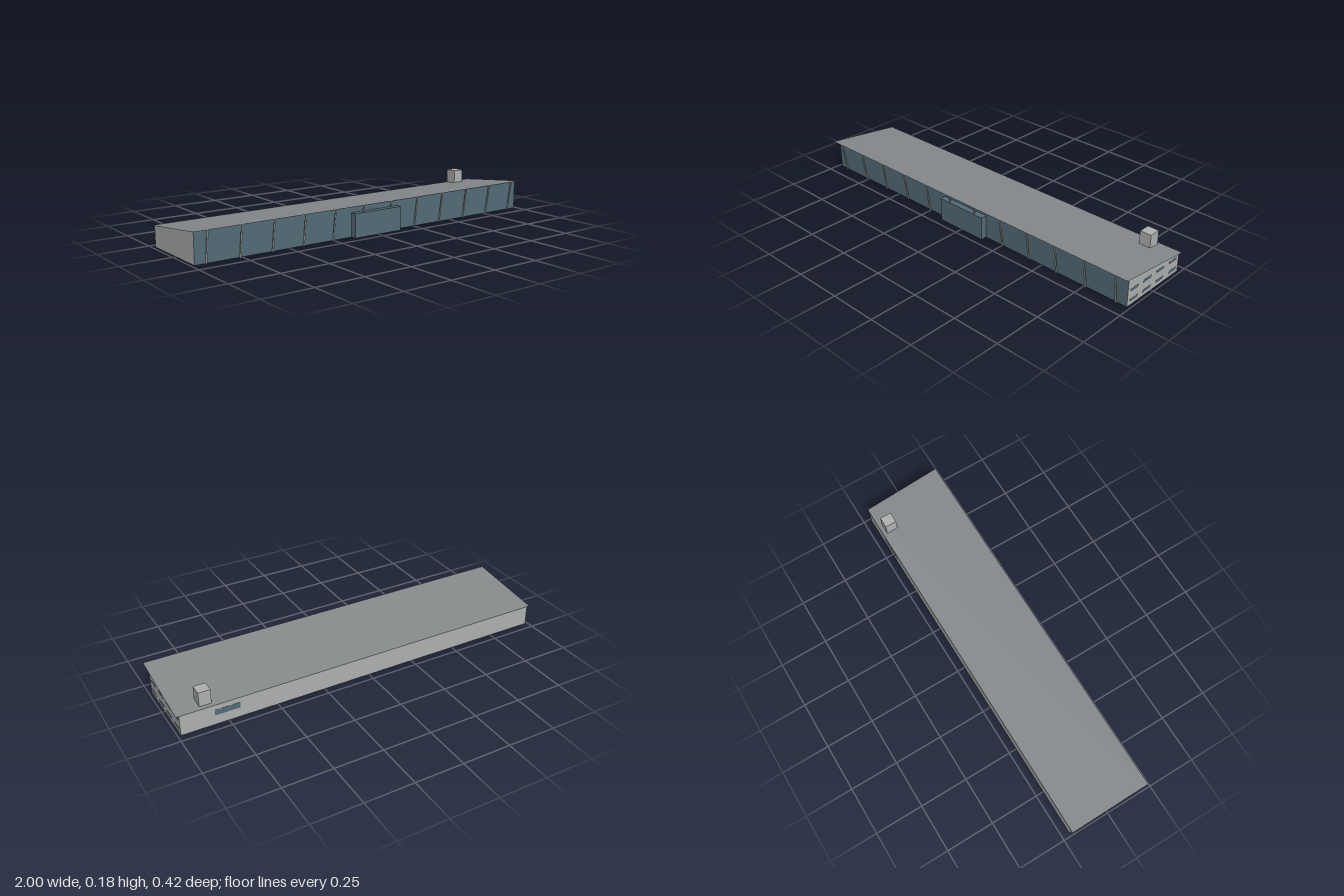
import * as THREE from 'three';

export function createModel() {
  const model = new THREE.Group();
  const mat = (name, color) => {
    const m = new THREE.MeshStandardMaterial({ color, side: THREE.DoubleSide });
    m.name = name;
    return m;
  };
  const concrete = mat('pale concrete', 0xaeb0af);
  const glass = mat('blue glass', 0x536b77);
  const roofing = mat('grey roofing', 0x85898b);

  const add = (name, geometry, material) => {
    const mesh = new THREE.Mesh(geometry, material);
    mesh.name = name;
    model.add(mesh);
    return mesh;
  };
  const box = (name, material, [x0, x1], [y0, y1], [z0, z1]) => {
    const mesh = add(name, new THREE.BoxGeometry(x1 - x0, y1 - y0, z1 - z0), material);
    mesh.position.set((x0 + x1) / 2, (y0 + y1) / 2, (z0 + z1) / 2);
    return mesh;
  };
  // Four-cornered panel, corners anticlockwise seen from outside
  const panel = (name, material, ...corners) => {
    const g = new THREE.BufferGeometry();
    g.setAttribute('position', new THREE.Float32BufferAttribute(corners.flat(), 3));
    g.setIndex([0, 1, 2, 0, 2, 3]);
    g.computeVertexNormals();
    return add(name, g, material);
  };

  const W = 0.985, front = 0.18, back = -0.21;
  const roofY = z => 0.131 + 0.118 * z;
  const wallY = z => roofY(z) - 0.0006;

  // Shell, open underneath
  panel('frontGlassWall', glass, [-W, 0, front], [W, 0, front], [W, wallY(front), front], [-W, wallY(front), front]);
  panel('backWall', concrete, [W, 0, back], [-W, 0, back], [-W, wallY(back), back], [W, wallY(back), back]);
  panel('leftEndWall', concrete, [W, 0, front], [W, 0, back], [W, wallY(back), back], [W, wallY(front), front]);
  panel('rightEndWall', concrete, [-W, 0, back], [-W, 0, front], [-W, wallY(front), front], [-W, wallY(back), back]);

  // Sloping roof sheet, overhanging the front and both ends
  const zr = 0.211;
  panel('roof', roofing, [-1, roofY(zr), zr], [1, roofY(zr), zr], [1, roofY(-zr), -zr], [-1, roofY(-zr), -zr]);

  // Entrance and chimney
  box('entrance', glass, [-0.143, 0.14], [0, 0.121], [front, 0.211]);
  box('chimney', concrete, [0.82, 0.88], [0, 0.183], [-0.19, -0.129]);

  // Leaning posts under the eaves
  const lean = 0.022, height = 0.154;
  for (let i = 0; i < 12; i++) {
    const post = add('post', new THREE.BoxGeometry(0.007, Math.hypot(lean, height), 0.005), concrete);
    post.position.set(-0.93 + i * 0.169, height / 2, 0.184 + lean / 2);
    post.rotation.x = Math.atan2(lean, height);
  }

  // Narrow windows on the end wall and one at the back
  for (const y of [0.025, 0.078])
    for (let i = 0; i < 4; i++) {
      const z = 0.133 - i * 0.0985;
      box('endWindow', glass, [W - 0.001, W + 0.0008], [y - 0.007, y + 0.007], [z - 0.03, z + 0.03]);
    }
  box('backWindow', glass, [0.69, 0.815], [0.05, 0.08], [back - 0.0008, back + 0.001]);

  return model;
}
